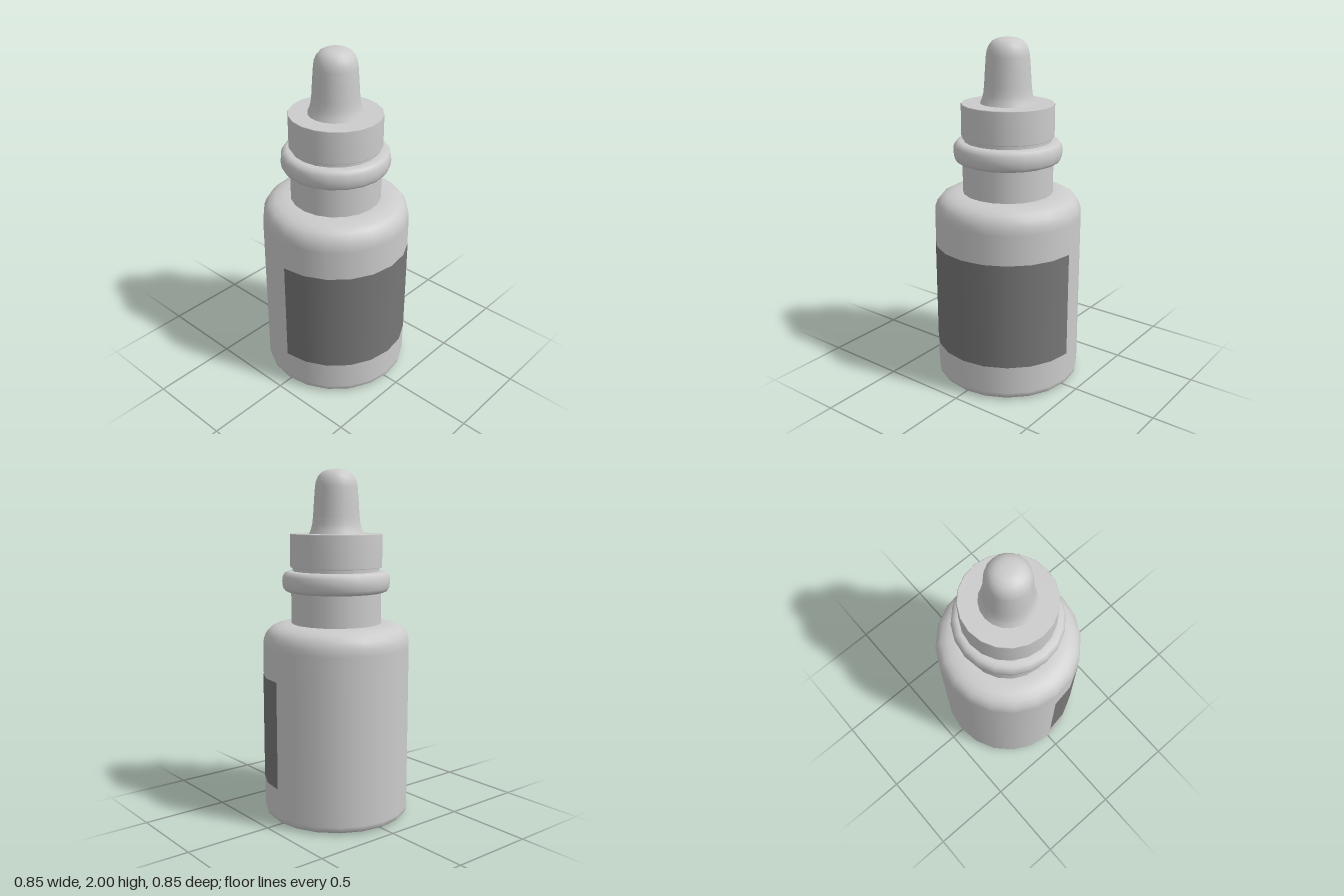
import * as THREE from 'three';

const SIDES = 20;
const grey = new THREE.MeshStandardMaterial({ color: 0xcccccc });
const labelGrey = new THREE.MeshStandardMaterial({ color: 0x777777, side: THREE.DoubleSide });

// Turned part; each profile runs bottom to top and is smooth, with sharp edges between profiles
function turned(name, ...profiles) {
  const part = new THREE.Group();
  part.name = name;
  profiles.forEach((profile, i) => {
    const points = profile.map(([r, y]) => new THREE.Vector2(r, y));
    const mesh = new THREE.Mesh(new THREE.LatheGeometry(points, SIDES), grey);
    mesh.name = `${name}Surface${i + 1}`;
    part.add(mesh);
  });
  return part;
}

export function createModel() {
  const model = new THREE.Group();
  model.name = 'dropperBottle';

  // Bottle body: flat base, rounded foot, straight wall, rounded shoulder
  model.add(turned('body',
    [[0, 0.005], [0.305, 0.005]],
    [[0.305, 0.005], [0.32, 0], [0.38, 0.002], [0.408, 0.009], [0.421, 0.022], [0.425, 0.045],
      [0.425, 1.0], [0.421, 1.04], [0.408, 1.075], [0.385, 1.102], [0.35, 1.12], [0.3, 1.13], [0.255, 1.13]]));

  // Neck below the ring and the narrow step above it
  model.add(turned('neck', [[0.26, 1.13], [0.26, 1.32]]));
  model.add(turned('neckStep', [[0.25, 1.42], [0.25, 1.46]]));

  // Rounded ring around the neck
  model.add(turned('neckRing', [[0.25, 1.31], [0.275, 1.31], [0.295, 1.318], [0.307, 1.336],
    [0.311, 1.37], [0.307, 1.402], [0.295, 1.422], [0.275, 1.43], [0.24, 1.43]]));

  // Screw cap
  model.add(turned('cap',
    [[0.24, 1.45], [0.262, 1.45]],
    [[0.262, 1.45], [0.264, 1.455], [0.264, 1.636], [0.261, 1.64]],
    [[0.261, 1.64], [0, 1.64]]));

  // Rubber squeeze bulb with a flared foot and domed tip
  model.add(turned('bulb', [[0.156, 1.64], [0.145, 1.665], [0.137, 1.695], [0.132, 1.74], [0.127, 1.82],
    [0.121, 1.9], [0.116, 1.93], [0.104, 1.958], [0.086, 1.98], [0.06, 1.993], [0.03, 1.999], [0, 2]]));

  // Label wrapped around the front half
  const label = new THREE.Mesh(
    new THREE.CylinderGeometry(0.427, 0.427, 0.62, SIDES / 2, 1, true, -Math.PI / 2, Math.PI), labelGrey);
  label.name = 'label';
  label.position.y = 0.52;
  model.add(label);

  return model;
}
